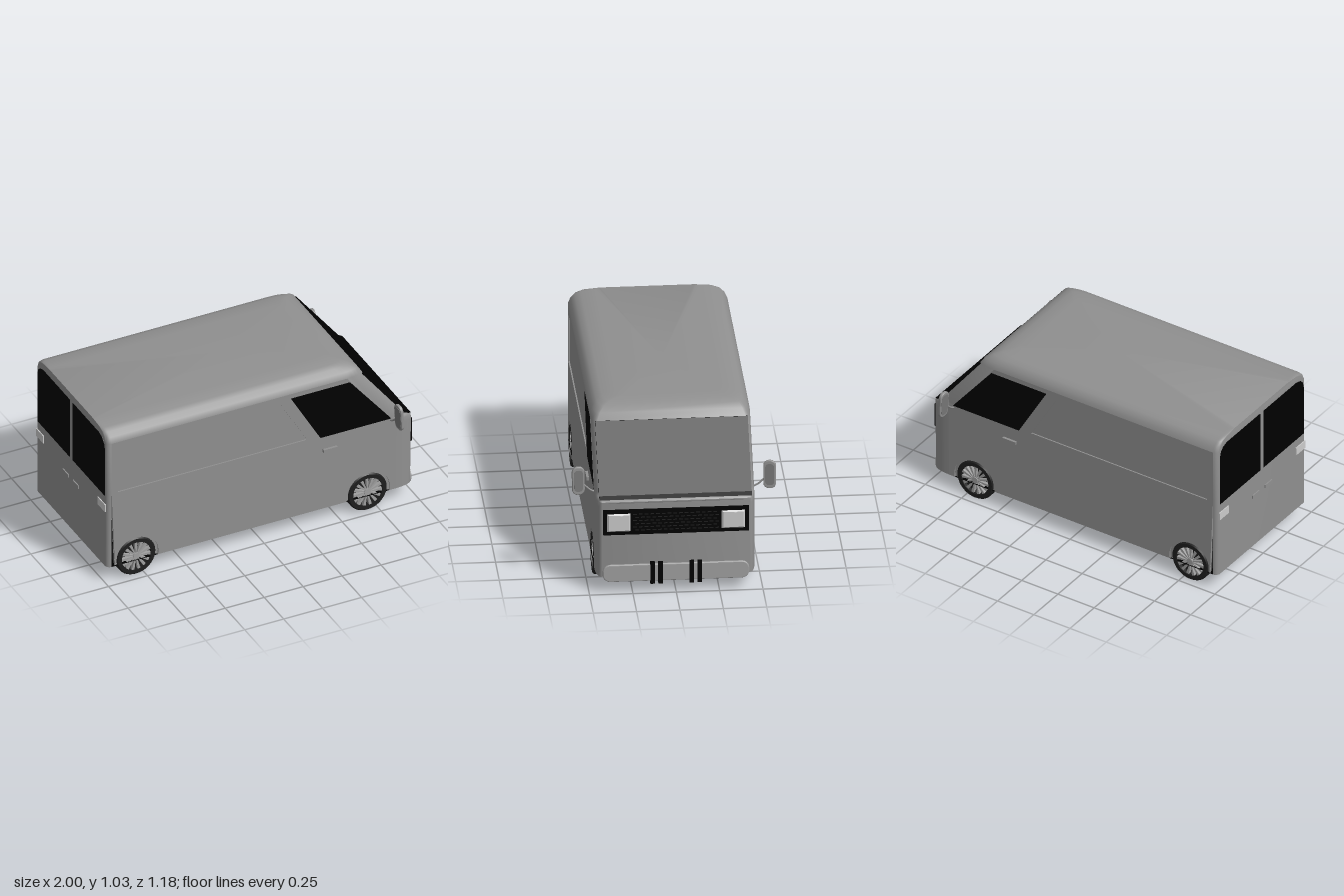
import * as THREE from 'three';
import { mergeGeometries, toCreasedNormals } from 'three/addons/utils/BufferGeometryUtils.js';

const mat = (color) => new THREE.MeshStandardMaterial({ color, side: THREE.DoubleSide });
const paint = mat(0x909090), trim = mat(0xa0a0a0), dull = mat(0x787878), light = mat(0xcccccc);
const black = mat(0x000000), rubber = mat(0x1e1e1e);

const REAR = -0.99, REAR_R = 0.03, NOSE_RX = 0.11, NOSE_RZ = 0.035, HALF = 0.46, N = 6;
// Body levels: height, nose x, half width
const LEVELS = [
  [0.1, 0.972, HALF], [0.54, 0.978, HALF], [0.57, 0.976, HALF], [0.585, 0.96, HALF],
  [0.592, 0.938, HALF], [0.605, 0.928, HALF], [0.95, 0.662, HALF], [0.985, 0.64, 0.445],
  [1.01, 0.6, 0.42], [1.023, 0.56, 0.385], [1.03, 0.49, 0.3],
];
const WAIST = 5, SIDE_TOP = 6; // levels where the lower and upper side panels end
const WHEEL_X = [-0.8, 0.685], WHEEL_Y = 0.127, ARCH_R = 0.14;
const ARCH_DIP = Math.asin((WHEEL_Y - 0.1) / ARCH_R);

function add(parent, name, geometry, material, x = 0, y = 0, z = 0) {
  const mesh = new THREE.Mesh(geometry, material);
  mesh.name = name;
  mesh.position.set(x, y, z);
  parent.add(mesh);
  return mesh;
}
const box = (w, h, d, x = 0, y = 0, z = 0) => new THREE.BoxGeometry(w, h, d).translate(x, y, z);
const polygon = (pts) => new THREE.Shape(pts.map((p) => new THREE.Vector2(...p)));
const extrude = (shape, depth, bevel = 0) => new THREE.ExtrudeGeometry(shape, {
  depth: depth - 2 * bevel, bevelEnabled: bevel > 0, bevelSize: bevel, bevelThickness: bevel,
  bevelOffset: -bevel, bevelSegments: 3, curveSegments: 16,
}).translate(0, 0, bevel - depth / 2);

function roundedRect(w, h, r) {
  const s = new THREE.Shape(), x = w / 2 - r, y = h / 2 - r;
  s.absarc(x, y, r, 0, Math.PI / 2);
  s.absarc(-x, y, r, Math.PI / 2, Math.PI);
  s.absarc(-x, -y, r, Math.PI, Math.PI * 1.5);
  s.absarc(x, -y, r, Math.PI * 1.5, Math.PI * 2);
  return s;
}

// Horizontal outline of the body at one level
function bodyRing([y, nose, half]) {
  const side = [];
  for (let i = 0; i <= N; i++) {
    const t = (i / N) * Math.PI / 2;
    side.push([REAR + REAR_R * (1 - Math.cos(t)), y, half - REAR_R * (1 - Math.sin(t))]);
  }
  for (let i = 0; i <= N; i++) {
    const t = (i / N) * Math.PI / 2;
    side.push([nose - NOSE_RX * (1 - Math.sin(t)), y, half - NOSE_RZ * (1 - Math.cos(t))]);
  }
  return [...side, ...side.map(([a, b, c]) => [a, b, -c]).reverse()];
}

// Shell lofted from the levels, leaving out the flat sides, closed by the roof
function bodyShell() {
  const rings = LEVELS.map(bodyRing), n = rings[0].length, out = [];
  for (let i = 0; i < rings.length - 1; i++) {
    for (let j = 0; j < n; j++) {
      if (i < SIDE_TOP && (j === N || j === n - 2 - N)) continue;
      const k = (j + 1) % n;
      const [a, b, c, d] = [rings[i][j], rings[i][k], rings[i + 1][k], rings[i + 1][j]];
      out.push(...a, ...b, ...c, ...a, ...c, ...d);
    }
  }
  const top = rings[rings.length - 1];
  top.forEach((p, j) => out.push(0, p[1], 0, ...p, ...top[(j + 1) % n]));
  const g = new THREE.BufferGeometry();
  g.setAttribute('position', new THREE.Float32BufferAttribute(out, 3));
  return toCreasedNormals(g, 0.7);
}

const sideFront = (from, to) => LEVELS.slice(from, to + 1).map(([y, nose]) => [nose - NOSE_RX, y]);

// Flat side below the waist, with the wheel arches
function lowerSide() {
  const s = new THREE.Shape(), back = REAR + REAR_R;
  s.moveTo(back, 0.1);
  for (const x of WHEEL_X) s.absarc(x, WHEEL_Y, ARCH_R, Math.PI + ARCH_DIP, -ARCH_DIP, true);
  for (const p of sideFront(0, WAIST)) s.lineTo(...p);
  s.lineTo(back, LEVELS[WAIST][0]);
  return extrude(s, 0.015);
}

// Flat side above the waist, framing the recessed panel
function upperSide([a, b, c, d]) {
  const back = REAR + REAR_R;
  return extrude(polygon([b, ...sideFront(WAIST, SIDE_TOP), [back, 0.95], [back, a[1]], a, d, c]), 0.015);
}

function makeWheel() {
  const g = new THREE.Group();
  g.name = 'wheel';
  const profile = [[0.094, -0.05], [0.118, -0.05], [0.126, -0.04], [0.126, 0.04], [0.118, 0.05],
    [0.094, 0.05], [0.094, -0.05]].map((p) => new THREE.Vector2(...p));
  const tyre = new THREE.LatheGeometry(profile, 40).rotateX(Math.PI / 2);
  add(g, 'tyre', toCreasedNormals(tyre, 0.6), rubber);
  add(g, 'rimDisc', new THREE.CylinderGeometry(0.094, 0.094, 0.05, 32).rotateX(Math.PI / 2), rubber);
  const spoke = extrude(polygon([[-0.003, 0.02], [0.003, 0.02], [0.009, 0.094], [-0.009, 0.094]]), 0.088);
  const spokes = [];
  for (let i = 0; i < 15; i++) spokes.push(spoke.clone().rotateZ((i / 15) * Math.PI * 2));
  add(g, 'spokes', mergeGeometries(spokes), trim);
  add(g, 'hub', new THREE.CylinderGeometry(0.02, 0.02, 0.098, 20).rotateX(Math.PI / 2), trim);
  return g;
}

export function createModel() {
  const van = new THREE.Group();
  van.name = 'van';
  add(van, 'bodyShell', bodyShell(), paint);
  const floor = polygon(bodyRing(LEVELS[0]).map(([x, , z]) => [x, z]));
  add(van, 'floor', new THREE.ShapeGeometry(floor).rotateX(Math.PI / 2), black, 0, 0.1, 0);

  // Sides: panels, windows, handles, wheels and mirrors
  const recess = [[-0.92, 0.605], [0.295, 0.605], [0.12, 0.905], [-0.92, 0.905]];
  const doorGlass = [[0.38, 0.592], [0.835, 0.592], [0.57, 0.92], [0.19, 0.92]];
  for (const s of [1, -1]) {
    add(van, 'lowerSide', lowerSide(), paint, 0, 0, s * (HALF - 0.0075));
    add(van, 'upperSide', upperSide(recess), paint, 0, 0, s * (HALF - 0.0075));
    add(van, 'recessedPanel', extrude(polygon(recess), 0.004), paint, 0, 0, s * (HALF - 0.01));
    add(van, 'doorWindow', extrude(polygon(doorGlass), 0.006), black, 0, 0, s * (HALF - 0.0015));
    add(van, 'doorHandle', box(0.09, 0.02, 0.016), paint, 0.44, 0.5, s * (HALF + 0.007));

    for (const x of WHEEL_X) {
      const wheel = makeWheel();
      wheel.position.set(x, WHEEL_Y, s * 0.41);
      if (s < 0) wheel.rotation.y = Math.PI;
      van.add(wheel);
      const lip = new THREE.RingGeometry(0.115, ARCH_R + 0.001, 40, 1, -ARCH_DIP, Math.PI + 2 * ARCH_DIP);
      add(van, 'archLip', s > 0 ? lip : lip.rotateY(Math.PI), paint, x, WHEEL_Y, s * 0.452);
    }

    const mirror = new THREE.Group();
    mirror.name = 'sideMirror';
    mirror.position.set(0.84, 0.653, s * 0.552);
    mirror.rotation.set(0, s * 0.12, 0.06);
    add(mirror, 'mirrorHousing', extrude(roundedRect(0.074, 0.172, 0.034), 0.02, 0.006).rotateY(Math.PI / 2), paint);
    add(mirror, 'mirrorFront', extrude(roundedRect(0.052, 0.13, 0.022), 0.004).rotateY(Math.PI / 2), dull, 0.0095);
    add(mirror, 'mirrorGlass', extrude(roundedRect(0.056, 0.14, 0.024), 0.004).rotateY(Math.PI / 2), dull, -0.0095);
    van.add(mirror);
    const arm = new THREE.CatmullRomCurve3([[0.83, 0.575, 0.45], [0.835, 0.59, 0.48], [0.84, 0.632, 0.525]]
      .map(([x, y, z]) => new THREE.Vector3(x, y, s * z)));
    add(van, 'mirrorArm', new THREE.TubeGeometry(arm, 8, 0.0055, 8), paint);
  }

  // Windscreen with the cowl below it
  const screen = polygon([[0.92, 0.58], [0.97, 0.582], [0.944, 0.597], [0.671, 0.947], [0.645, 0.94]]);
  add(van, 'windscreen', extrude(screen, 0.88), black);
  add(van, 'bonnetSeam', box(0.003, 0.004, 0.78), dull, 0.976, 0.563, 0);

  // Grille and headlights
  add(van, 'grille', box(0.018, 0.155, 0.84), black, 0.98, 0.447, 0);
  const slats = [];
  for (let r = 0; r < 6; r++) {
    for (let c = 0; c < 15; c++) {
      slats.push(box(0.004, 0.005, 0.022, 0.99, 0.397 + r * 0.02, (c - 7) * 0.033 + (r % 2 ? 0.006 : -0.006)));
    }
  }
  add(van, 'grilleMesh', mergeGeometries(slats), rubber);
  for (const s of [1, -1]) {
    const surround = new THREE.CylinderGeometry(0.056, 0.07, 0.012, 4, 1).toNonIndexed();
    surround.rotateY(Math.PI / 4).scale(1.2, 1, 1.46).rotateZ(-Math.PI / 2);
    surround.computeVertexNormals();
    add(van, 'headlightSurround', surround, light, 0.991, 0.446, s * 0.33);
    add(van, 'headlightLens', box(0.003, 0.09, 0.11), light, 0.9965, 0.446, s * 0.33);
  }

  // Front bumper with upright guards
  add(van, 'bumper', extrude(roundedRect(0.845, 0.106, 0.045), 0.03, 0.006).rotateY(Math.PI / 2), trim, 0.97, 0.123, 0);
  for (const z of [-0.136, -0.09, 0.09, 0.136]) {
    add(van, 'bumperGuard', box(0.02, 0.134, 0.026), black, 0.988, 0.125, z);
  }

  // Rear doors: windows, lamps and handles
  for (const s of [1, -1]) {
    const glass = polygon([[0.018, 0.585], [0.432, 0.585], [0.432, 0.91], [0.423, 0.945], [0.4, 0.968],
      [0.36, 0.98], [0.018, 0.98]].map(([z, y]) => [-s * z, y]));
    add(van, 'rearWindow', extrude(glass, 0.006).rotateY(Math.PI / 2), black, REAR + 0.001, 0, 0);
    add(van, 'rearLamp', box(0.012, 0.05, 0.095), light, REAR, 0.505, s * 0.396);
    add(van, 'rearHandle', box(0.012, 0.022, 0.07), paint, REAR - 0.001, 0.445, s * 0.065);
  }
  return van;
}
